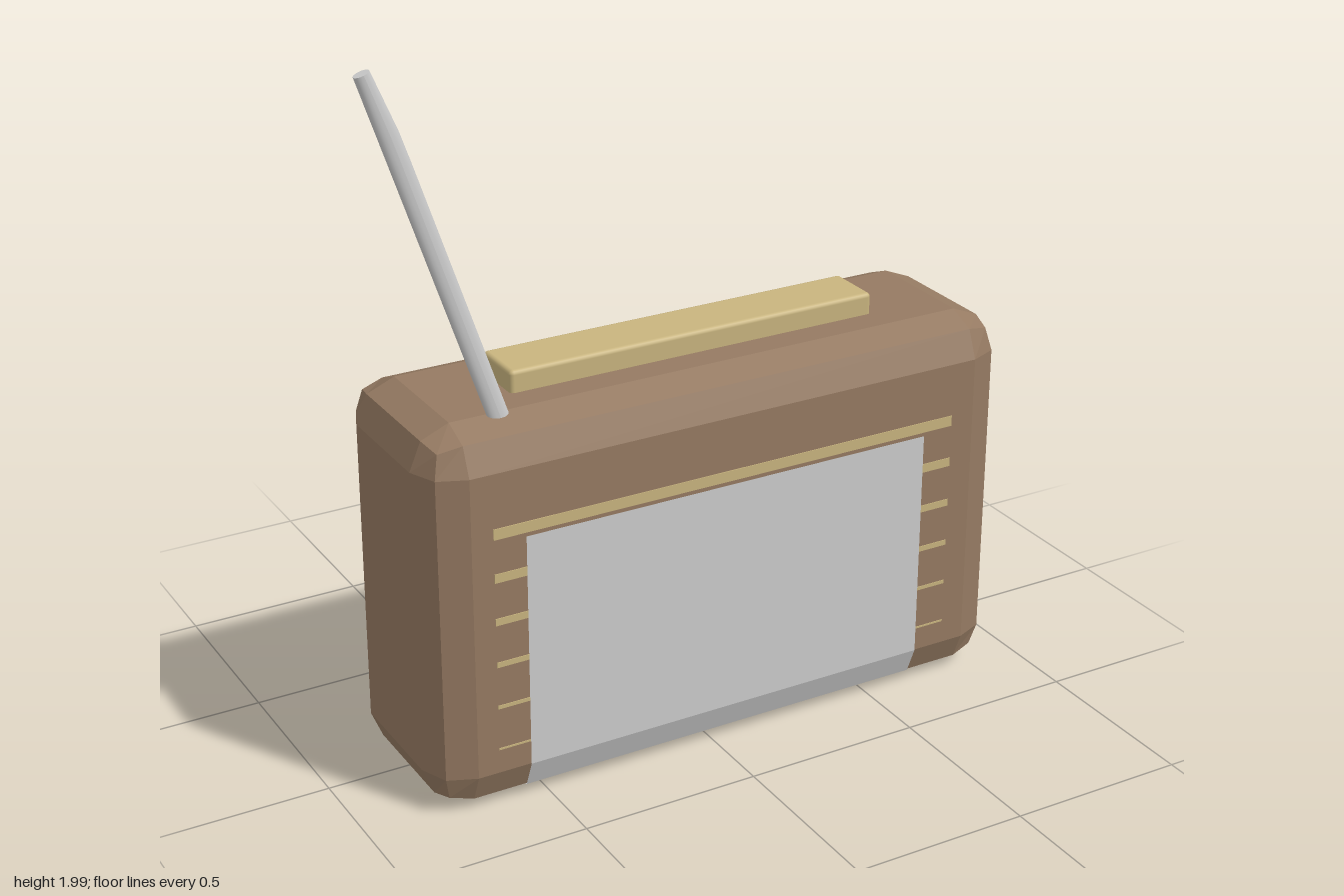
import * as THREE from 'three';
import { RoundedBoxGeometry } from 'three/addons/geometries/RoundedBoxGeometry.js';

const material = (color, options = {}) => new THREE.MeshStandardMaterial({ color, ...options });

export function createModel() {
  const group = new THREE.Group();
  const wood = material(0x957a62, { flatShading: true });
  const tan = material(0xc8b47e);
  const slate = material(0x5a6064);
  const metal = material(0xcccccc);
  const cloth = material(0xcccccc, { flatShading: true, side: THREE.DoubleSide });
  const glass = material(0x84968f);
  const blue = material(0x6f93a6);

  const add = (name, geometry, mat, x = 0, y = 0, z = 0) => {
    const mesh = new THREE.Mesh(geometry, mat);
    mesh.name = name;
    mesh.position.set(x, y, z);
    group.add(mesh);
    return mesh;
  };

  // Cabinet with two-facet rounded edges
  add('cabinet', new RoundedBoxGeometry(1.73, 1.07, 0.545, 1, 0.11), wood, 0.045, 0.535, 0.0375);

  // Top handle
  add('handle', new RoundedBoxGeometry(1.085, 0.08, 0.16, 2, 0.012), tan, 0.0425, 1.09, 0.04);

  // Speaker cloth: a strip following the front and its lower bevel
  const profile = [[0.77, 0.313], [0.11, 0.313], [0.031, 0.281], [-0.0, 0.203]];
  const sheet = new THREE.PlaneGeometry(1.2, 1, 1, profile.length - 1);
  const pos = sheet.attributes.position;
  for (let i = 0; i < pos.count; i++) {
    const [y, z] = profile[Math.floor(i / 2)];
    pos.setXYZ(i, pos.getX(i), y, z);
  }
  sheet.computeVertexNormals();
  add('speakerCloth', sheet, cloth, 0.04);

  // Grille slats, thinner toward the bottom
  for (let i = 0; i < 6; i++) {
    const height = 0.03 - i * 0.005;
    add('grilleSlat', new THREE.BoxGeometry(1.38, height, 0.02), tan, 0.04, 0.795 - i * 0.123, 0.302);
  }

  // Rear panel, a thin plate with rounded corners
  const plate = (points, depth) => new THREE.ExtrudeGeometry(
    new THREE.Shape(points.map(([x, y]) => new THREE.Vector2(x, y))),
    { depth, bevelEnabled: false });
  const c = 0.02;
  add('rearPanel', plate([
    [-0.02 + c, 0.15], [0.775 - c, 0.15], [0.775, 0.15 + c], [0.775, 0.9 - c],
    [0.775 - c, 0.9], [-0.02 + c, 0.9], [-0.02, 0.9 - c], [-0.02, 0.15 + c],
  ], 0.03), glass, 0, 0, -0.25);

  // Dial window with two clipped corners
  add('dialWindow', plate([
    [-0.2, 0.48], [-0.2, 0.63], [-0.3, 0.8], [-0.69, 0.8], [-0.69, 0.69], [-0.58, 0.48],
  ], 0.03), blue, 0, 0, -0.246);

  // Two overlapping knobs
  const knob = (name, mat, x, y, length) => {
    const mesh = add(name, new THREE.CylinderGeometry(0.1, 0.1, length, 32), mat, x, y, -0.225 - length / 2);
    mesh.rotation.x = Math.PI / 2;
  };
  knob('tuningKnob', slate, -0.415, 0.29, 0.09);
  knob('volumeKnob', tan, -0.47, 0.32, 0.087);

  // Leaning flat antenna, narrowed on one edge near the tip
  const base = new THREE.Vector3(-0.57, 1.04, 0.205);
  const tip = new THREE.Vector3(-0.893, 1.99, 0.205);
  const axis = tip.clone().sub(base);
  const length = axis.length();
  const r = 0.028;
  const rod = new THREE.CylinderGeometry(r, r, length, 20, 12);
  const p = rod.attributes.position;
  for (let i = 0; i < p.count; i++) {
    const t = p.getY(i) / length + 0.5;
    const k = 1 - 0.25 * Math.max(0, (t - 0.82) / 0.18);
    p.setX(i, -r + (p.getX(i) + r) * k);
    p.setZ(i, p.getZ(i) * 0.58);
  }
  rod.computeVertexNormals();
  const antenna = add('antenna', rod, metal);
  antenna.position.copy(base).add(tip).multiplyScalar(0.5);
  antenna.quaternion.setFromUnitVectors(new THREE.Vector3(0, 1, 0), axis.normalize());

  return group;
}
